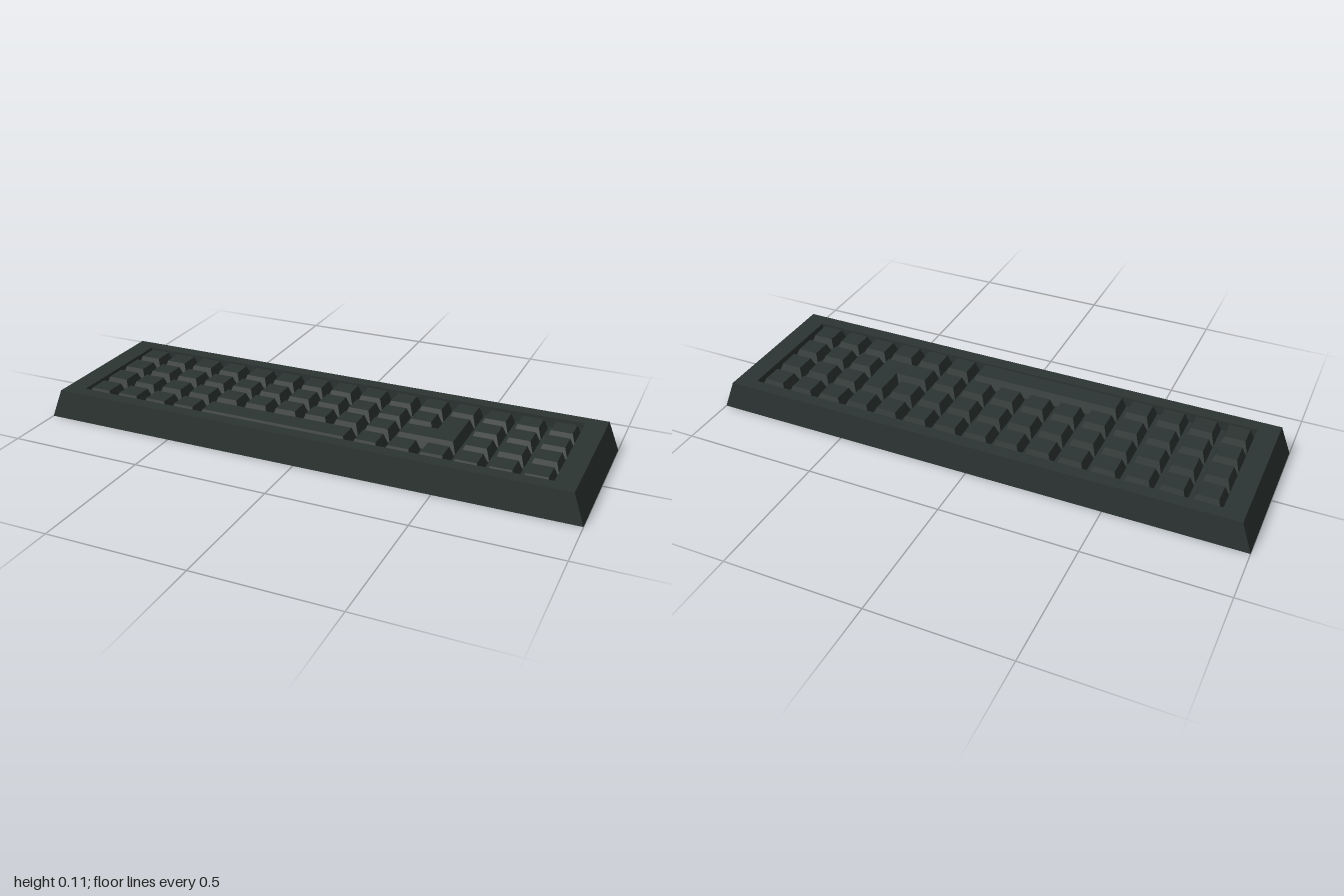
import * as THREE from 'three';

const material = new THREE.MeshStandardMaterial({ color: 0x2c3533, flatShading: true });

// Rectangle outline as [x, z] points, counter-clockwise seen from above
const rect = (x0, x1, z0, z1) => [[x0, z0], [x0, z1], [x1, z1], [x1, z0]];

// Closed faceted solid through a stack of matching outlines: [[outline, y], ...]
function loft(rings) {
  const pos = [];
  const corner = (k, i) => {
    const [outline, y] = rings[k];
    const [x, z] = outline[i % outline.length];
    return [x, y, z];
  };
  const tri = (...corners) => corners.forEach((c) => pos.push(...c));
  const n = rings[0][0].length;
  const last = rings.length - 1;
  for (let k = 0; k < last; k++) {
    for (let i = 0; i < n; i++) {
      tri(corner(k, i), corner(k, i + 1), corner(k + 1, i + 1));
      tri(corner(k, i), corner(k + 1, i + 1), corner(k + 1, i));
    }
  }
  const flat = rings[0][0].map(([x, z]) => new THREE.Vector2(x, -z));
  for (const [a, b, c] of THREE.ShapeUtils.triangulateShape(flat, [])) {
    tri(corner(0, a), corner(0, c), corner(0, b));
    tri(corner(last, a), corner(last, b), corner(last, c));
  }
  const g = new THREE.BufferGeometry();
  g.setAttribute('position', new THREE.Float32BufferAttribute(pos, 3));
  g.computeVertexNormals();
  return g;
}

const FLOOR = 0.07, RIM = 0.108, KEY_TOP = 0.111;
const BASE_HALF = 0.052, TOP_HALF = 0.0375;
const colX = (c) => (c - 7) * 0.118;
const rowZ = (r) => 0.005 + (r - 1.5) * 0.1145;

export function createModel() {
  const model = new THREE.Group();
  model.name = 'keyboard';
  const add = (parent, name, geometry) => {
    const mesh = new THREE.Mesh(geometry, material);
    mesh.name = name;
    parent.add(mesh);
  };

  // Tapered case with a sunken key well
  const well = rect(-0.885, 0.885, -0.23, 0.228);
  add(model, 'case', loft([
    [rect(-1, 1, -0.288, 0.288), 0],
    [rect(-0.96, 0.96, -0.278, 0.278), RIM],
    [well, RIM],
    [well, FLOOR],
  ]));

  const keys = new THREE.Group();
  keys.name = 'keys';
  model.add(keys);

  // A tapered key whose outline depends on its half width
  const addKey = (name, outline, top = KEY_TOP) =>
    add(keys, name, loft([[outline(BASE_HALF), FLOOR - 0.002], [outline(TOP_HALF), top]]));
  const addBar = (name, row, from, to, top) =>
    addKey(name, (h) => rect(colX(from) - h, colX(to) + h, rowZ(row) - h, rowZ(row) + h), top);

  // Single keys, leaving room for the space bar and the L-shaped key
  const taken = (r, c) =>
    (r === 1 && c === 11) || (r === 2 && (c === 10 || c === 11)) || (r === 3 && c >= 4 && c <= 8);
  for (let r = 0; r < 4; r++) {
    for (let c = 0; c < 15; c++) {
      if (!taken(r, c)) addBar(`key_${r}_${c}`, r, c, c, c > 11 ? RIM : KEY_TOP);
    }
  }

  addBar('spaceBar', 3, 4, 8);

  // L-shaped enter key
  addKey('enterKey', (h) => {
    const x0 = colX(10) - h, xm = colX(11) - h, x1 = colX(11) + h;
    const z0 = rowZ(1) - h, zm = rowZ(2) - h, z1 = rowZ(2) + h;
    return [[x0, zm], [x0, z1], [x1, z1], [x1, z0], [xm, z0], [xm, zm]];
  });

  return model;
}
